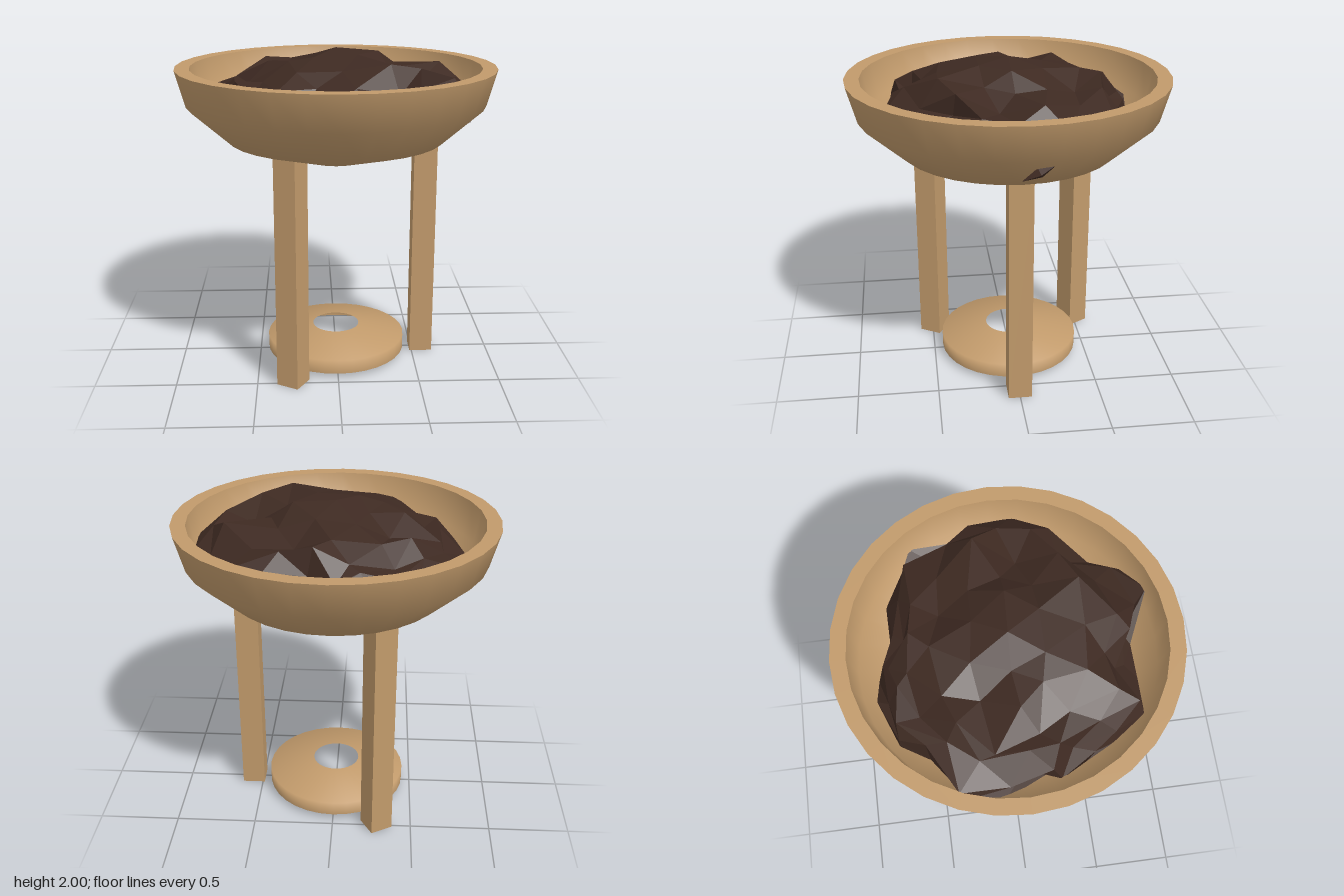
import * as THREE from 'three';
import { mergeVertices } from 'three/addons/utils/BufferGeometryUtils.js';

const wood = new THREE.MeshStandardMaterial({ color: 0xc19a6b, side: THREE.DoubleSide });
const coal = new THREE.MeshStandardMaterial({ color: 0x3e2a22, flatShading: true });

function lathe(name, profile) {
  const points = profile.map(([r, y]) => new THREE.Vector2(r, y));
  const mesh = new THREE.Mesh(new THREE.LatheGeometry(points, 32), wood);
  mesh.name = name;
  return mesh;
}

function seeded(seed) {
  return () => {
    seed = (seed * 16807) % 2147483647;
    return seed / 2147483647;
  };
}

// radius of the ragged heap by angle in degrees, from +x towards +z
const outline = [
  [-8, 0.87], [14, 0.83], [40, 0.73], [75, 0.88], [90, 0.75], [109, 0.71], [122, 0.86],
  [151, 0.71], [164, 0.84], [180, 0.7], [195, 0.87], [211, 0.84], [217, 0.71], [239, 0.81],
  [254, 0.78], [289, 0.69], [315, 0.86], [328, 0.85], [332, 0.81], [352, 0.87],
];
function heapRadius(angle) {
  let a = THREE.MathUtils.radToDeg(angle);
  if (a < -8) a += 360;
  const i = Math.max(1, outline.findIndex(([d]) => d >= a));
  const [a0, r0] = outline[i - 1], [a1, r1] = outline[i];
  return THREE.MathUtils.mapLinear(a, a0, a1, r0, r1);
}

// inner wall of the bowl, bottom to top
const inner = [[0.18, 1.33], [0.62, 1.475], [0.85, 1.68], [0.89, 1.89]];
function innerRadius(y) {
  for (let i = 1; i < inner.length; i++) {
    const [r0, y0] = inner[i - 1], [r1, y1] = inner[i];
    if (y <= y1) return THREE.MathUtils.mapLinear(Math.max(y, y0), y0, y1, r0, r1);
  }
  return 0.89;
}

// flattened, jagged ball kept inside the bowl
function heapGeometry() {
  let geo = new THREE.IcosahedronGeometry(1, 3);
  geo.deleteAttribute('normal');
  geo.deleteAttribute('uv');
  geo = mergeVertices(geo, 1e-4);
  const rand = seeded(4711);
  const p = geo.attributes.position;
  for (let i = 0; i < p.count; i++) {
    const x = p.getX(i), z = p.getZ(i), h = p.getY(i);
    const flat = Math.hypot(x, z);
    const angle = Math.atan2(z, x);
    const y = THREE.MathUtils.clamp(1.66 + h * 0.29 + (rand() - 0.5) * 0.14, 1.32, 2);
    const jitter = 1 - (1 - flat * 0.6) * (rand() - 0.5) * 0.4;
    const r = Math.min(flat * heapRadius(angle) * jitter, innerRadius(y) + 0.01);
    const turn = angle + (rand() - 0.5) * 0.12;
    p.setXYZ(i, r * Math.cos(turn), y, r * Math.sin(turn));
  }
  // one peak reaches full height
  let top = 0;
  for (let i = 0; i < p.count; i++) if (p.getY(i) > p.getY(top)) top = i;
  p.setY(top, 2);
  const faceted = geo.toNonIndexed();
  faceted.computeVertexNormals();
  return faceted;
}

export function createModel() {
  const model = new THREE.Group();
  model.name = 'brazier';

  // bowl with an opening at the bottom
  const bowl = new THREE.Group();
  bowl.name = 'bowl';
  bowl.add(
    lathe('bowlOutside', [[0.18, 1.3], [0.67, 1.445], [0.92, 1.67], [0.98, 1.89]]),
    lathe('bowlRim', [[0.98, 1.89], [0.89, 1.89]]),
    lathe('bowlInside', [...inner].reverse()),
    lathe('bowlOpeningEdge', [[0.18, 1.33], [0.18, 1.3]]),
  );
  model.add(bowl);

  // three square legs set radially
  for (let i = 0; i < 3; i++) {
    const angle = (i * Math.PI * 2) / 3;
    const leg = new THREE.Mesh(new THREE.BoxGeometry(0.145, 1.44, 0.145), wood);
    leg.name = 'leg' + (i + 1);
    leg.position.set(0.56 * Math.cos(angle), 0.72, 0.56 * Math.sin(angle));
    leg.rotation.y = -angle;
    model.add(leg);
  }

  // open, shallow ring between the feet
  model.add(lathe('baseRing', [[0.445, 0.03], [0.445, 0.12], [0.15, 0.18]]));

  // heap of coals
  const heap = new THREE.Mesh(heapGeometry(), coal);
  heap.name = 'coalHeap';
  model.add(heap);

  // sliver of coal poking through the left wall of the bowl
  const shard = new THREE.Mesh(new THREE.OctahedronGeometry(1, 0), coal);
  shard.name = 'coalShard';
  shard.scale.set(0.045, 0.03, 0.11);
  shard.position.set(0.835, 1.58, -0.07);
  shard.rotation.x = 0.45;
  model.add(shard);

  return model;
}
